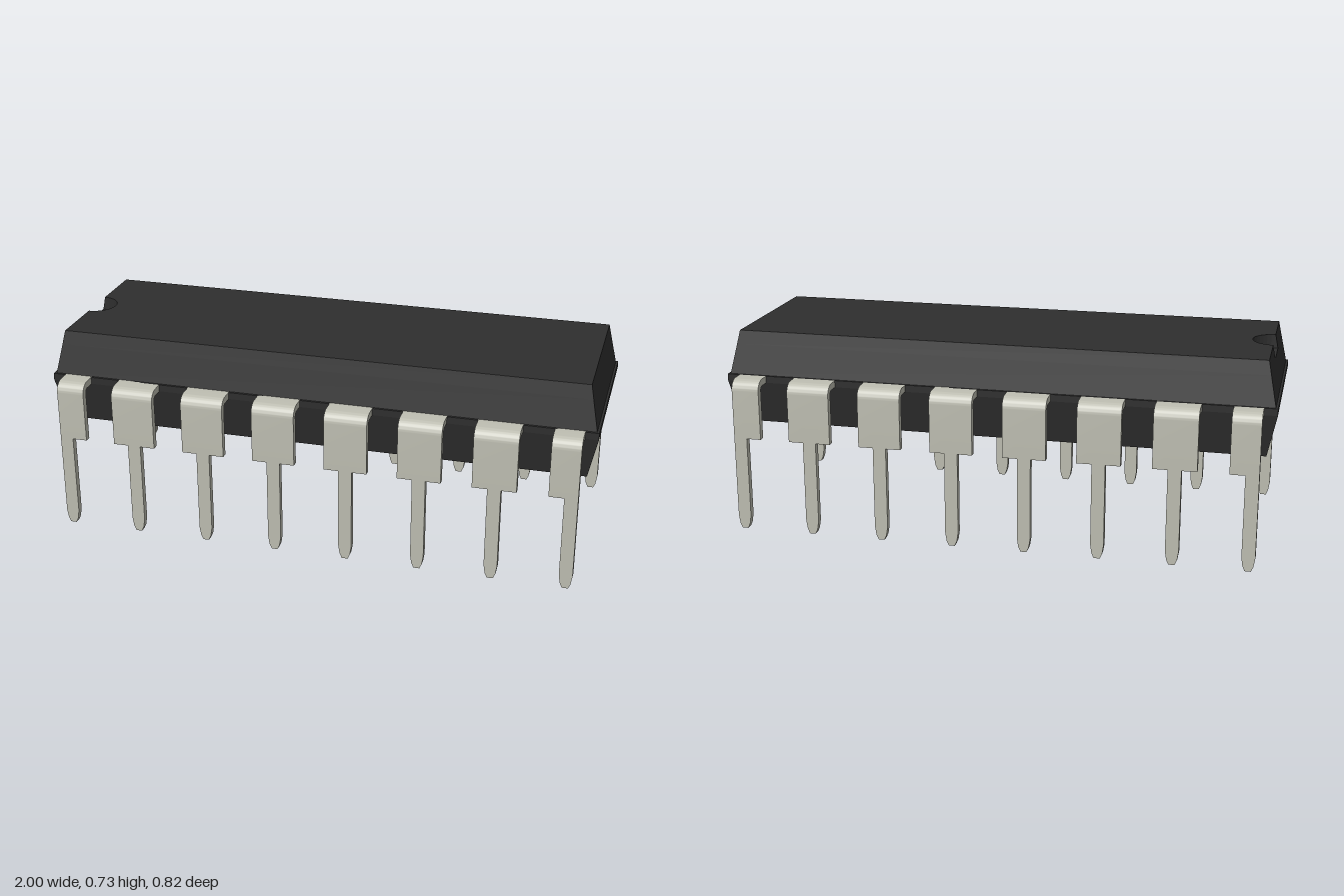
import * as THREE from 'three';
import { toCreasedNormals } from 'three/addons/utils/BufferGeometryUtils.js';

const bodyMaterial = new THREE.MeshStandardMaterial({ color: 0x2e2e2e });
const pinMaterial = new THREE.MeshStandardMaterial({ color: 0xbcbcb0 });
const NOTCH = { x: -0.96, r: 0.077, floor: 0.678 };

// Rectangle seen from above (x, -z), counter-clockwise, with an optional round notch at -x
function outline(hx, hz, notched) {
  const pts = [[-hx, -hz], [hx, -hz], [hx, hz], [-hx, hz]];
  const n = 16;
  for (let k = 0; notched && k <= n; k++) {
    const t = (k / n) * Math.PI;
    const x = k % n === 0 ? -hx : NOTCH.x + NOTCH.r * Math.sin(t);
    pts.push([x, NOTCH.r * Math.cos(t)]);
  }
  return pts.map(([x, v]) => new THREE.Vector2(x, v));
}

// Closed block between two matching outlines
function loft(low, yLow, high, yHigh) {
  const pos = [];
  const put = (p, y) => pos.push(p.x, y, -p.y);
  low.forEach((a, i) => {
    const j = (i + 1) % low.length;
    put(a, yLow); put(low[j], yLow); put(high[j], yHigh);
    put(a, yLow); put(high[j], yHigh); put(high[i], yHigh);
  });
  for (const [a, b, c] of THREE.ShapeUtils.triangulateShape(high, [])) {
    [a, b, c].forEach((k) => put(high[k], yHigh));
    [c, b, a].forEach((k) => put(low[k], yLow));
  }
  const geo = new THREE.BufferGeometry();
  geo.setAttribute('position', new THREE.Float32BufferAttribute(pos, 3));
  geo.computeVertexNormals();
  return geo;
}

function addMesh(parent, name, geo, material) {
  const mesh = new THREE.Mesh(geo, material);
  mesh.name = name;
  parent.add(mesh);
}

// Bent wide part of a pin: side profile (z, y) extruded along x
function shoulderGeometry(x0, x1) {
  const s = new THREE.Shape();
  s.moveTo(0.31, 0.545);
  s.lineTo(0.37, 0.545);
  s.absarc(0.37, 0.53, 0.015, Math.PI / 2, 0, true);
  s.lineTo(0.385, 0.35);
  s.lineTo(0.41, 0.35);
  s.lineTo(0.41, 0.53);
  s.absarc(0.37, 0.53, 0.04, 0, Math.PI / 2, false);
  s.lineTo(0.31, 0.57);
  const geo = new THREE.ExtrudeGeometry(s, { depth: x1 - x0, bevelEnabled: false, curveSegments: 8 });
  geo.rotateY(-Math.PI / 2).translate(x1, 0, 0);
  return toCreasedNormals(geo, 0.6);
}

// Narrow part of a pin with a tapered tip
function prongGeometry(x) {
  const half = [[0.024, 0.35], [0.024, 0.05], [0.019, 0.018], [0.011, 0]];
  const pts = [...half.map(([w, y]) => [-w, y]), ...half.reverse().map(([w, y]) => [w, y])];
  const shape = new THREE.Shape(pts.map(([w, y]) => new THREE.Vector2(x + w, y)));
  const geo = new THREE.ExtrudeGeometry(shape, { depth: 0.025, bevelEnabled: false });
  return geo.translate(0, 0, 0.385);
}

export function createModel() {
  const model = new THREE.Group();
  model.name = 'chipPackage';

  // Moulded body: lower taper, parting band, upper taper and notched top layer
  const body = new THREE.Group();
  body.name = 'body';
  model.add(body);
  addMesh(body, 'lowerBody', loft(outline(0.967, 0.298), 0.387, outline(1, 0.331), 0.545), bodyMaterial);
  addMesh(body, 'partingBand', loft(outline(1, 0.331), 0.545, outline(1, 0.331), 0.57), bodyMaterial);
  addMesh(body, 'upperBody', loft(outline(0.992, 0.322), 0.57, outline(0.97, 0.3), NOTCH.floor), bodyMaterial);
  addMesh(body, 'notchedTop',
    loft(outline(0.97, 0.3, true), NOTCH.floor, outline(0.96, 0.29, true), 0.728), bodyMaterial);

  // Eight pins per side; the end pins have half-width shoulders
  for (const side of ['front', 'back']) {
    const row = new THREE.Group();
    row.name = side + 'Pins';
    row.rotation.y = side === 'front' ? 0 : Math.PI;
    model.add(row);
    for (let i = 0; i < 8; i++) {
      const x = (i - 3.5) * 0.2655;
      const pin = new THREE.Group();
      pin.name = 'pin';
      row.add(pin);
      const left = i === 0 ? 0.024 : 0.078;
      const right = i === 7 ? 0.024 : 0.078;
      addMesh(pin, 'pinShoulder', shoulderGeometry(x - left, x + right), pinMaterial);
      addMesh(pin, 'pinProng', prongGeometry(x), pinMaterial);
    }
  }
  return model;
}
